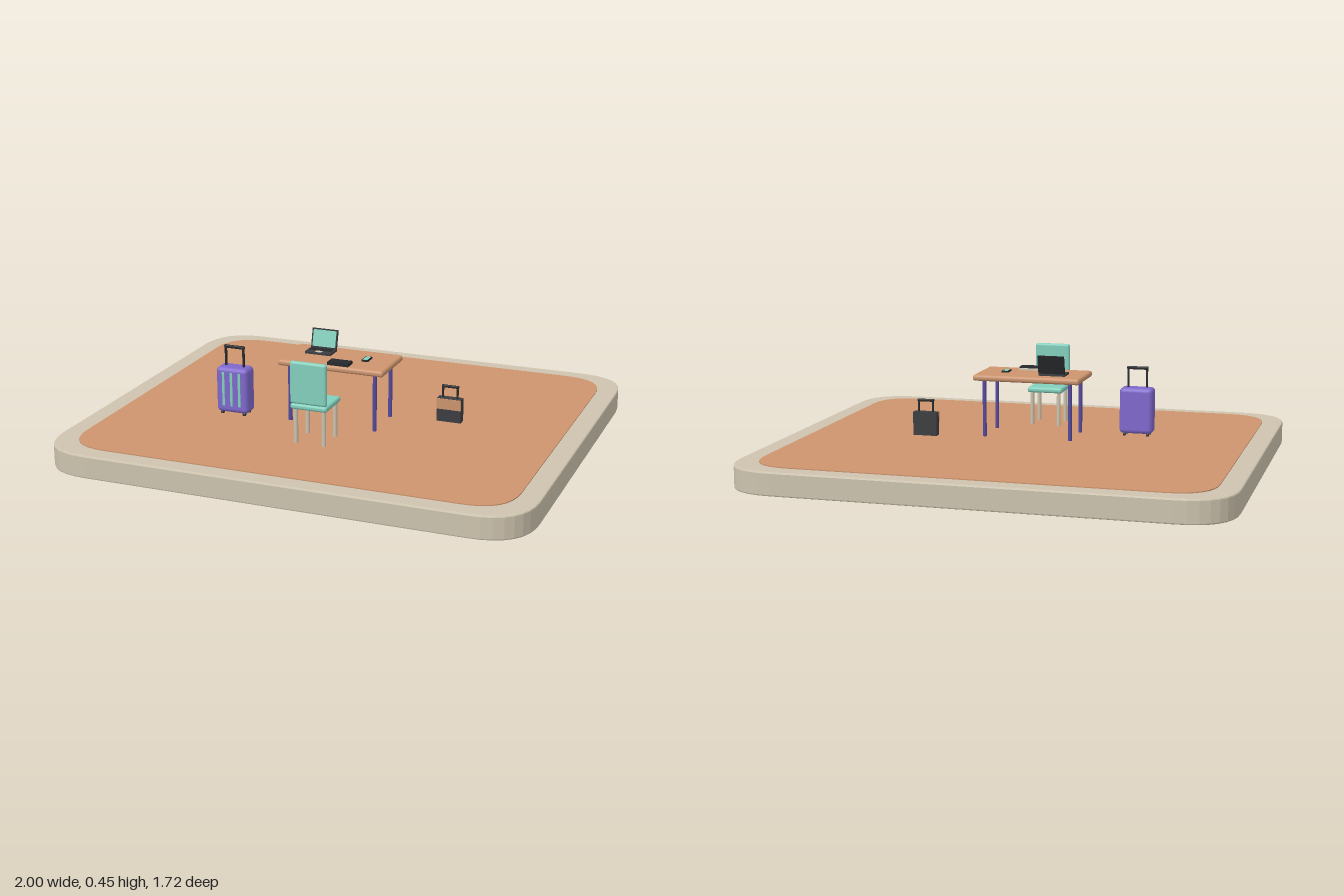
import * as THREE from 'three';
import { RoundedBoxGeometry } from 'three/addons/geometries/RoundedBoxGeometry.js';

const mat = (name, color) => {
  const m = new THREE.MeshStandardMaterial({ color });
  m.name = name;
  return m;
};

export function createModel() {
  const beige = mat('warm stone', 0xcdc3ae);
  const orange = mat('terracotta', 0xcc946d);
  const purple = mat('purple', 0x7f68cc);
  const indigo = mat('indigo', 0x564a9e);
  const teal = mat('teal', 0x82cfbd);
  const dark = mat('charcoal', 0x3b3d40);
  const black = mat('black', 0x26282b);
  const model = new THREE.Group();
  model.name = 'travelWorkspace';

  const group = (name, x, y, z) => {
    const g = new THREE.Group();
    g.name = name;
    g.position.set(x, y, z);
    model.add(g);
    return g;
  };
  const add = (parent, name, geo, material, x = 0, y = 0, z = 0) => {
    const m = new THREE.Mesh(geo, material);
    m.name = name;
    m.position.set(x, y, z);
    parent.add(m);
    return m;
  };
  const box = (w, h, d) => new THREE.BoxGeometry(w, h, d);
  const round = (w, h, d, r) => new RoundedBoxGeometry(w, h, d, 2, r);

  // Flat slab with rounded corners, lying on its lower face at y = 0
  const slab = (w, d, h, r, bevel) => {
    const x = w / 2 - bevel, z = d / 2 - bevel;
    const s = new THREE.Shape();
    s.moveTo(-x + r, -z);
    s.lineTo(x - r, -z);
    s.quadraticCurveTo(x, -z, x, -z + r);
    s.lineTo(x, z - r);
    s.quadraticCurveTo(x, z, x - r, z);
    s.lineTo(-x + r, z);
    s.quadraticCurveTo(-x, z, -x, z - r);
    s.lineTo(-x, -z + r);
    s.quadraticCurveTo(-x, -z, -x + r, -z);
    const g = new THREE.ExtrudeGeometry(s, {
      depth: h - 2 * bevel, bevelEnabled: bevel > 0, bevelSize: bevel,
      bevelThickness: bevel, bevelSegments: 2, curveSegments: 8,
    });
    return g.rotateX(-Math.PI / 2).translate(0, bevel, 0);
  };

  // Four straight legs at mirrored corners
  const legs = (parent, name, h, dx, dz, r, material) => {
    for (const sx of [-1, 1]) for (const sz of [-1, 1]) {
      add(parent, name, new THREE.CylinderGeometry(r, r, h, 12), material, sx * dx, h / 2, sz * dz);
    }
  };

  // Pull handle: two posts and a grip
  const pullHandle = (parent, w, y0, y1, t, z) => {
    for (const s of [-1, 1]) {
      add(parent, 'handlePost', box(t, y1 - y0, t), black, s * (w - t) / 2, (y0 + y1) / 2, z);
    }
    add(parent, 'handleGrip', round(w + t / 2, t * 1.6, t * 1.6, t * 0.5), black, 0, y1 - t * 0.8, z);
  };

  // Base platform and floor
  const base = group('platform', 0, 0, 0);
  add(base, 'platformBase', slab(2, 1.724, 0.096, 0.21, 0.006), beige);
  add(base, 'floor', slab(1.83, 1.57, 0.006, 0.18, 0), orange, 0, 0.094, 0);

  // Table
  const table = group('table', -0.003, 0.1, 0.1);
  add(table, 'tableTop', round(0.462, 0.026, 0.248, 0.011), orange, 0, 0.253, 0);
  legs(table, 'tableLeg', 0.245, 0.186, 0.093, 0.0085, indigo);

  // Chair, with its back towards the front
  const chair = group('chair', -0.003, 0.1, 0.37);
  add(chair, 'chairSeat', round(0.157, 0.024, 0.157, 0.01), teal, 0, 0.157, 0);
  add(chair, 'chairBack', round(0.155, 0.175, 0.022, 0.01), teal, 0, 0.257, 0.07);
  legs(chair, 'chairLeg', 0.148, 0.06, 0.06, 0.009, beige);

  // Large suitcase
  const suitcase = group('suitcase', -0.436, 0.1, 0.2);
  add(suitcase, 'suitcaseShell', round(0.143, 0.196, 0.08, 0.018), purple, 0, 0.109, 0);
  for (const x of [-0.036, 0, 0.036]) {
    add(suitcase, 'suitcaseStripe', box(0.011, 0.145, 0.006), teal, x, 0.115, 0.04);
  }
  for (const sx of [-1, 1]) for (const sz of [-1, 1]) {
    const wheel = new THREE.CylinderGeometry(0.009, 0.009, 0.01, 12).rotateZ(Math.PI / 2);
    add(suitcase, 'suitcaseWheel', wheel, dark, sx * 0.05, 0.009, sz * 0.024);
  }
  pullHandle(suitcase, 0.088, 0.2, 0.296, 0.008, 0);

  // Small bag with a front flap
  const bag = group('smallBag', 0.432, 0.1, -0.033);
  add(bag, 'bagBody', box(0.104, 0.1, 0.036), dark, 0, 0.05, 0);
  add(bag, 'bagFlap', box(0.104, 0.045, 0.008), orange, 0, 0.077, 0.018);
  pullHandle(bag, 0.07, 0.1, 0.155, 0.007, 0);

  // Laptop
  const laptop = group('laptop', -0.103, 0.366, 0.067);
  add(laptop, 'laptopBase', box(0.114, 0.009, 0.076), dark, 0, 0.0045, 0);
  add(laptop, 'laptopKeys', box(0.096, 0.002, 0.032), black, 0, 0.0095, -0.008);
  add(laptop, 'laptopTrackpad', box(0.028, 0.002, 0.018), beige, 0, 0.0095, 0.023);
  const lid = new THREE.Group();
  lid.name = 'laptopLid';
  lid.position.set(0, 0.006, -0.033);
  lid.rotation.x = -0.24;
  laptop.add(lid);
  add(lid, 'lidShell', box(0.114, 0.083, 0.007), black, 0, 0.0415, 0);
  add(lid, 'lidScreen', box(0.102, 0.07, 0.003), teal, 0, 0.0425, 0.0035);

  // Phone
  const phone = group('phone', 0.112, 0.366, 0.097);
  add(phone, 'phoneBody', box(0.028, 0.007, 0.054), black, 0, 0.0035, 0);
  add(phone, 'phoneScreen', box(0.021, 0.002, 0.044), teal, 0, 0.007, 0);

  // Document wallet with papers showing
  const wallet = group('documentWallet', 0.03, 0.366, 0.181);
  add(wallet, 'walletPapers', box(0.084, 0.007, 0.066), beige, 0, 0.0035, 0);
  add(wallet, 'walletCover', box(0.09, 0.013, 0.05), black, 0, 0.0065, 0.01);

  return model;
}
